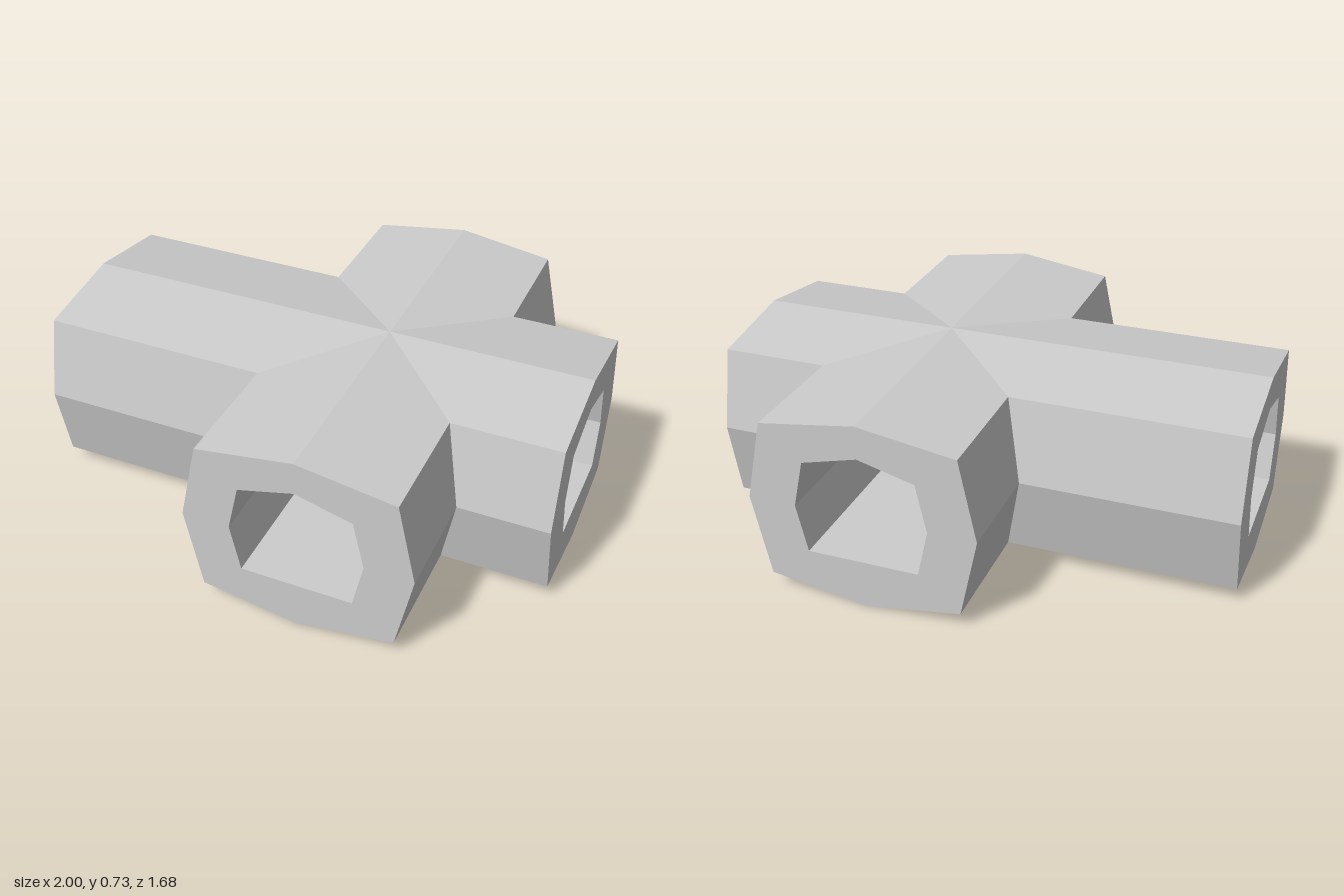
import * as THREE from 'three';

// Half profiles as [across, height], from the top round to the bottom
const mirror = half => [...half, ...half.slice(1, -1).reverse().map(([w, y]) => [-w, y])];
const OUTER = mirror([[0, 0.725], [0.365, 0.67], [0.43, 0.365], [0.365, 0.057], [0, 0]]);
const INNER = mirror([[0, 0.60], [0.21, 0.545], [0.25, 0.365], [0.21, 0.185], [0, 0.185]]);

function facesMesh(name, faces, material) {
  const pos = [];
  for (const f of faces) {
    for (let i = 1; i < f.length - 1; i++) pos.push(...f[0], ...f[i], ...f[i + 1]);
  }
  const geo = new THREE.BufferGeometry();
  geo.setAttribute('position', new THREE.Float32BufferAttribute(pos, 3));
  geo.computeVertexNormals();
  const mesh = new THREE.Mesh(geo, material);
  mesh.name = name;
  return mesh;
}

// Faces of a tube along +x, mitred against its neighbours at the junction.
// A gap leaves an opening in one long panel.
function tubeFaces(ring, length, outward, gap) {
  const faces = [];
  ring.forEach(([w0, y0], i) => {
    const [w1, y1] = ring[(i + 1) % ring.length];
    let spans = [[Math.abs(w0), Math.abs(w1), length, length]];
    if (gap && gap.panel === i) {
      spans = [
        [Math.abs(w0), Math.abs(w1), gap.from[0], gap.from[1]],
        [gap.to[0], gap.to[1], length, length],
      ];
    }
    for (const [s0, s1, e0, e1] of spans) {
      const quad = [[s0, y0, w0], [e0, y0, w0], [e1, y1, w1], [s1, y1, w1]];
      faces.push(outward ? quad.reverse() : quad);
    }
  });
  return faces;
}

// Flat ring closing the wall at the open end
function rimFaces(length) {
  return OUTER.map((o, i) => {
    const j = (i + 1) % OUTER.length;
    return [o, OUTER[j], INNER[j], INNER[i]].map(([w, y]) => [length, y, w]);
  });
}

// Small corner webs where the bores meet
function gussetFaces() {
  const faces = [];
  for (const side of [1, -1]) {
    for (const y of [0.545, 0.185]) {
      const tri = [[0.21, y, 0.12 * side], [0.211, y, 0.21 * side], [0.25, 0.365, 0.25 * side]];
      const flip = side * (y > 0.365 ? 1 : -1) < 0;
      faces.push(flip ? tri.reverse() : tri);
    }
  }
  return faces;
}

export function createModel() {
  const grey = new THREE.MeshStandardMaterial({ color: 0xcccccc });
  grey.name = 'lightGrey';
  grey.flatShading = true;

  const model = new THREE.Group();
  model.name = 'pipeCross';

  const arms = [
    { name: 'leftArm', length: 0.77, turn: 0 },
    { name: 'frontArm', length: 0.84, turn: -Math.PI / 2, gussets: true },
    { name: 'backArm', length: 0.84, turn: Math.PI / 2 },
    // The long arm has an opening on its underside
    { name: 'rightArm', length: 1.23, turn: Math.PI, gap: { panel: 3, from: [0.4, 0.65], to: [0.89, 0.93] } },
  ];

  for (const { name, length, turn, gap, gussets } of arms) {
    const arm = new THREE.Group();
    arm.name = name;
    arm.add(facesMesh('outerWall', tubeFaces(OUTER, length, true, gap), grey));
    arm.add(facesMesh('bore', tubeFaces(INNER, length, false), grey));
    arm.add(facesMesh('endRim', rimFaces(length), grey));
    if (gussets) arm.add(facesMesh('boreGussets', gussetFaces(), grey));
    arm.position.x = 0.23;
    arm.rotation.y = turn;
    model.add(arm);
  }
  return model;
}
